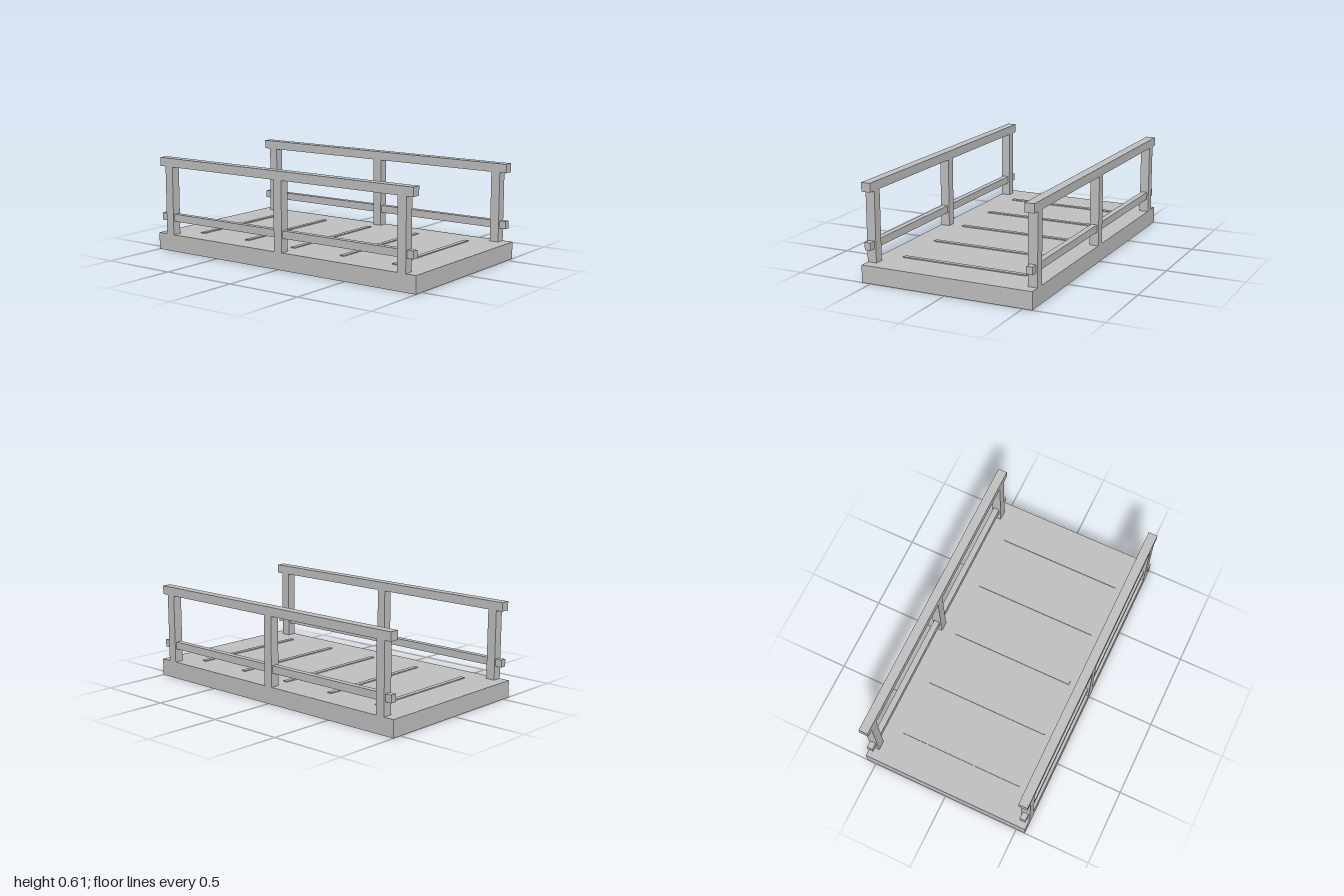
import * as THREE from 'three';

export function createModel() {
  const model = new THREE.Group();
  model.name = 'footbridge';
  const grey = new THREE.MeshStandardMaterial({ color: 0xc0c0c0 });
  grey.name = 'plain grey';

  // Box given by its size, centre x/z and bottom height
  function box(parent, name, w, h, d, x, bottom, z) {
    const mesh = new THREE.Mesh(new THREE.BoxGeometry(w, h, d), grey);
    mesh.name = name;
    mesh.position.set(x, bottom + h / 2, z);
    parent.add(mesh);
  }

  // Deck slab
  box(model, 'deck', 1.12, 0.11, 2, 0, 0, 0);

  // Thin cross strips on the walking surface
  for (let i = -2; i <= 2; i++) {
    box(model, 'deckStrip', 0.825, 0.006, 0.03, 0, 0.11, i * 0.376);
  }

  // Railings, mirrored left and right
  for (const side of [1, -1]) {
    const railing = new THREE.Group();
    railing.name = side > 0 ? 'leftRailing' : 'rightRailing';
    railing.position.x = side * 0.53;
    for (const z of [-0.9, 0, 0.9]) {
      box(railing, 'post', 0.06, 0.445, 0.06, 0, 0.11, z);
    }
    box(railing, 'handrail', 0.06, 0.056, 1.95, 0, 0.554, 0);
    box(railing, 'lowerRail', 0.039, 0.048, 1.95, 0, 0.197, 0);
    model.add(railing);
  }
  return model;
}
